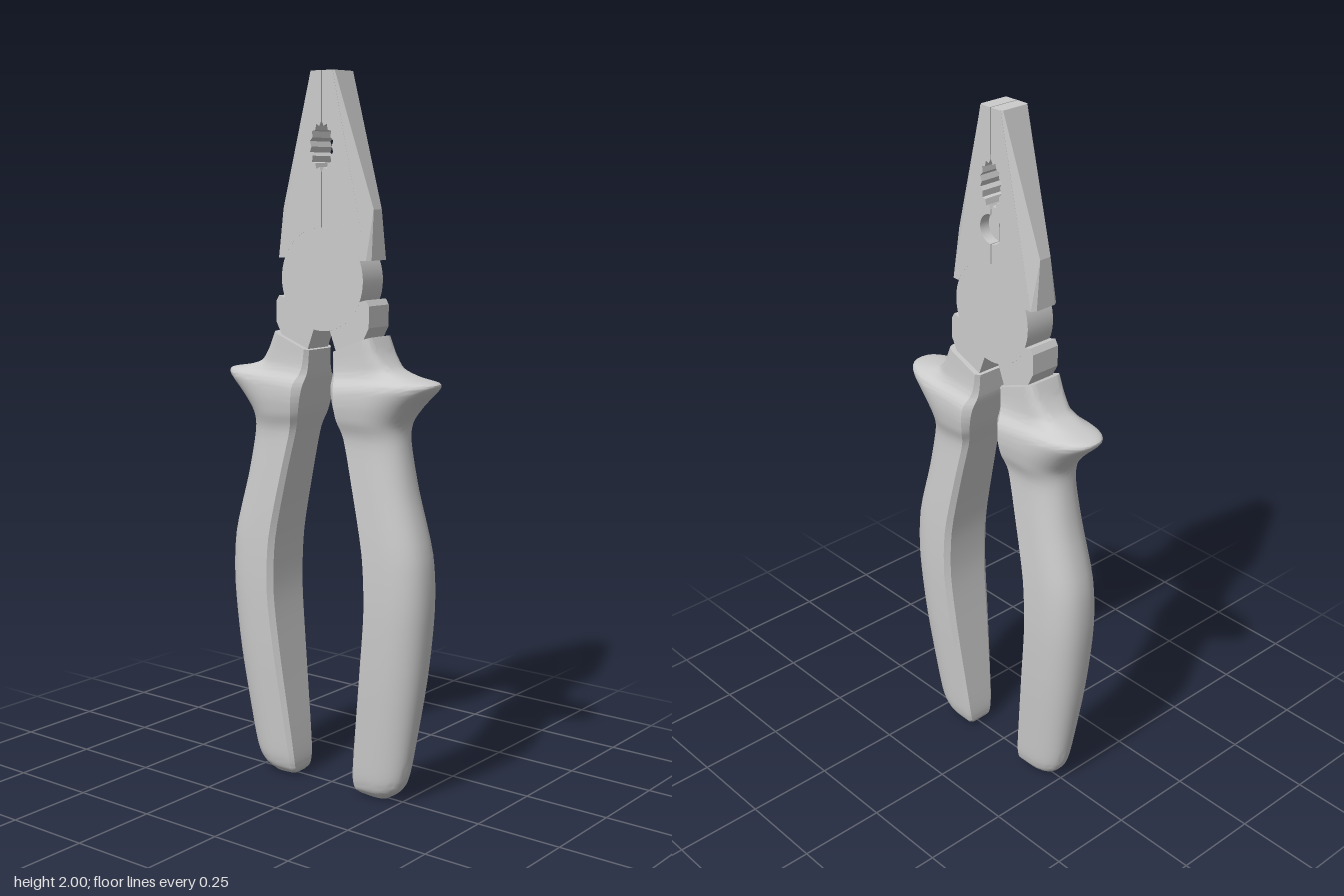
import * as THREE from 'three';
import { toCreasedNormals } from 'three/addons/utils/BufferGeometryUtils.js';
import { ConvexGeometry } from 'three/addons/geometries/ConvexGeometry.js';

const HALF = 0.045;            // half thickness of the steel head
const GAP = 0.0015;            // half of the slit between the jaws
const PIVOT_Y = 1.445, PIVOT_R = 0.14;
const steel = new THREE.MeshStandardMaterial({ color: 0xcccccc });

function addMesh(parent, name, geometry) {
  const mesh = new THREE.Mesh(geometry, steel);
  mesh.name = name;
  parent.add(mesh);
  return mesh;
}

function slab(shape, z0, z1) {
  const g = new THREE.ExtrudeGeometry(shape, { depth: z1 - z0, bevelEnabled: false, curveSegments: 20 });
  return g.translate(0, 0, z0);
}

// Flat inner body of one jaw, with the toothed notch and optionally the round recess
function jawShape(withRecess) {
  const s = new THREE.Shape();
  s.moveTo(GAP, 2);
  const teeth = 14;
  for (let i = 0; i <= teeth; i++) {
    const a = Math.PI / 2 - (i / teeth) * Math.PI;
    const k = i % 2 ? 0.84 : 1;
    s.lineTo(Math.max(GAP, 0.041 * k * Math.cos(a)), 1.8 + 0.066 * k * Math.sin(a));
  }
  if (withRecess) {
    s.lineTo(GAP, 1.72);
    s.absarc(GAP, 1.68, 0.04, Math.PI / 2, -Math.PI / 2, true);
  }
  s.lineTo(GAP, PIVOT_Y + PIVOT_R);
  s.absarc(0, PIVOT_Y, PIVOT_R, Math.PI / 2 - 0.011, 0.404, true);
  s.lineTo(0.15, 1.5);
  s.lineTo(0.037, 2);
  s.closePath();
  return s;
}

// flip: this jaw is going to be turned half round, so its recess goes on the other face
function buildJaw(flip) {
  const jaw = new THREE.Group();
  jaw.name = 'jaw';
  const split = 0.015;
  const [a, b] = flip ? [split, HALF] : [-HALF, -split];
  const [c, d] = flip ? [-HALF, split] : [-split, HALF];
  addMesh(jaw, 'jawRecessLayer', slab(jawShape(true), a, b));
  addMesh(jaw, 'jawBody', slab(jawShape(false), c, d));
  // Chamfered outer flank
  const pts = [];
  for (const z of [-1, 1]) {
    pts.push(
      new THREE.Vector3(0.036, 2, z * HALF), new THREE.Vector3(0.041, 2, z * 0.04),
      new THREE.Vector3(0.15, 1.5, z * HALF), new THREE.Vector3(0.155, 1.635, z * 0.018),
      new THREE.Vector3(0.159, 1.5, z * 0.032));
  }
  addMesh(jaw, 'jawFlank', new ConvexGeometry(pts));
  return jaw;
}

// Steel arm running from the pivot down into the grip
function shankGeometry() {
  const s = new THREE.Shape();
  s.moveTo(0.03, 1.3);
  s.absarc(0, PIVOT_Y, PIVOT_R, -Math.PI / 2 + 0.2, -0.4, false);
  for (const [x, y] of [[0.15, 1.396], [0.16, 1.38], [0.16, 1.322], [0.14, 1.285], [0.13, 1.2], [0.065, 1.19], [0.05, 1.25]])
    s.lineTo(x, y);
  s.closePath();
  return slab(s, -HALF, HALF);
}

// Grip cross-sections from top to bottom:
// inner x, inner y, outer x, outer y, half thickness, squareness of the outer side
const GRIP = [
  [0.042, 1.25, 0.165, 1.297, 0.060, 7],
  [0.043, 1.225, 0.19, 1.25, 0.061, 5],
  [0.044, 1.20, 0.225, 1.212, 0.064, 3.2],
  [0.045, 1.18, 0.285, 1.193, 0.071, 2.5],
  [0.048, 1.16, 0.347, 1.182, 0.084, 2.3],
  [0.052, 1.14, 0.346, 1.164, 0.090, 2.3],
  [0.058, 1.11, 0.295, 1.115, 0.091, 2.3],
  [0.067, 1.07, 0.257, 1.065, 0.085, 2.3],
  [0.083, 1.02, 0.256, 1.01, 0.071, 2.3],
  [0.113, 0.90, 0.281, 0.88, 0.075, 2.3],
  [0.153, 0.71, 0.327, 0.71, 0.081, 2.3],
  [0.16, 0.55, 0.334, 0.56, 0.081, 2.3],
  [0.141, 0.36, 0.315, 0.36, 0.073, 2.3],
  [0.113, 0.13, 0.276, 0.13, 0.057, 2.3],
  [0.106, 0.06, 0.258, 0.06, 0.051, 2.3],
  [0.107, 0.025, 0.235, 0.027, 0.042, 2.3],
  [0.118, 0.009, 0.2, 0.004, 0.024, 2.3],
];

function gripGeometry() {
  const curve = (f) => new THREE.CatmullRomCurve3(GRIP.map((r) => new THREE.Vector3(...f(r))), false, 'catmullrom', 0.4);
  const inner = curve((r) => [r[0], r[1], 0]);
  const outer = curve((r) => [r[2], r[3], 0]);
  const form = curve((r) => [r[4], r[5], 0]);
  const rows = (GRIP.length - 1) * 4, arc = 10;
  const pos = [], index = [];
  let n = 0;
  for (let i = 0; i <= rows; i++) {
    const t = i / rows;
    const p = inner.getPoint(t), q = outer.getPoint(t), f = form.getPoint(t);
    // Flat inside with chamfered corners, rounded outside
    const half = [[0, 0.8], [0.07, 1]];
    for (let k = 0; k <= arc; k++) {
      const a = (k / arc) * Math.PI / 2, e = 2 / f.y;
      half.push([0.4 + 0.6 * Math.sin(a) ** e, k === arc ? 0 : Math.cos(a) ** e]);
    }
    const ring = [...half, ...half.slice(0, -1).reverse().map(([u, w]) => [u, -w])];
    n = ring.length;
    for (const [u, w] of ring)
      pos.push(p.x + (q.x - p.x) * u, p.y + (q.y - p.y) * u, w * f.x);
  }
  for (let i = 0; i < rows; i++)
    for (let j = 0; j < n; j++) {
      const a = i * n + j, b = i * n + (j + 1) % n;
      index.push(a, a + n, b, b, a + n, b + n);
    }
  // End caps
  const last = rows * n;
  for (let j = 1; j < n - 1; j++) {
    index.push(0, j, j + 1);
    index.push(last, last + j + 1, last + j);
  }
  const g = new THREE.BufferGeometry();
  g.setAttribute('position', new THREE.Float32BufferAttribute(pos, 3));
  g.setIndex(index);
  return toCreasedNormals(g, 0.6);
}

export function createModel() {
  const model = new THREE.Group();
  model.name = 'pliers';
  const shank = shankGeometry(), grip = gripGeometry();

  // Each half: a handle, its layer of the pivot, and the jaw on the opposite side
  for (const side of ['left', 'right']) {
    const turned = side === 'right';
    const half = new THREE.Group();
    half.name = side + 'Half';
    addMesh(half, 'grip', grip);
    addMesh(half, 'shank', shank);
    const layer = new THREE.CylinderGeometry(PIVOT_R, PIVOT_R, HALF, 56);
    layer.rotateX(Math.PI / 2).translate(0, PIVOT_Y, HALF / 2);
    addMesh(half, 'pivotDisc', layer);
    const jaw = buildJaw(!turned);
    jaw.rotation.y = Math.PI;
    half.add(jaw);
    if (turned) half.rotation.y = Math.PI;
    model.add(half);
  }
  return model;
}
